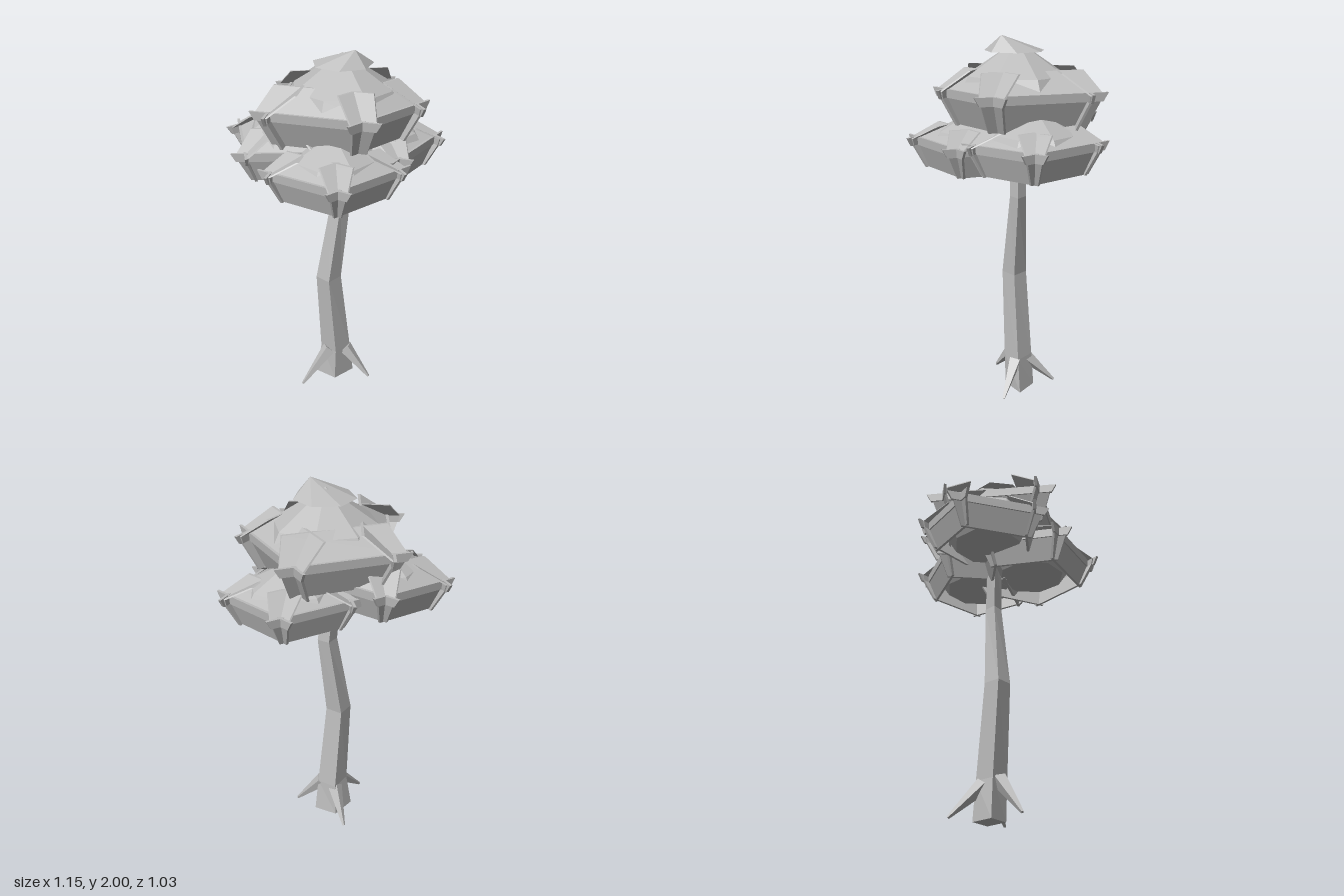
import * as THREE from 'three';

const grey = new THREE.MeshStandardMaterial({ color: 0xbcbcbc, flatShading: true, side: THREE.DoubleSide });
grey.name = 'stoneGrey';

function addMesh(parent, geometry, name) {
  const mesh = new THREE.Mesh(geometry, grey);
  mesh.name = name;
  parent.add(mesh);
  return mesh;
}

// Skin a list of point loops and cap both ends
function loft(rings) {
  const pos = [];
  const tri = (...pts) => pts.forEach((p) => pos.push(p.x, p.y, p.z));
  const n = rings[0].length;
  for (let r = 0; r < rings.length - 1; r++) {
    for (let i = 0; i < n; i++) {
      const j = (i + 1) % n;
      const [a, b, c, d] = [rings[r][i], rings[r][j], rings[r + 1][j], rings[r + 1][i]];
      tri(a, c, b);
      tri(a, d, c);
    }
  }
  // Caps zip across the loop, which suits thin bent plates and the square trunk alike
  [rings[0], rings[rings.length - 1]].forEach((ring, end) => {
    for (let i = 0, j = n - 1; i + 1 < j; i++, j--) {
      const q = [ring[i], ring[i + 1], ring[j - 1], ring[j]];
      if (end) q.reverse();
      tri(q[0], q[1], q[2]);
      tri(q[0], q[2], q[3]);
    }
  });
  const g = new THREE.BufferGeometry();
  g.setAttribute('position', new THREE.Float32BufferAttribute(pos, 3));
  g.computeVertexNormals();
  return g;
}

// Bent plate along one polygon edge; profile rows are [outward, height, overrun]
function plate(p0, p1, centre, profile, thickness) {
  const along = p1.clone().sub(p0).normalize();
  const out = new THREE.Vector3(along.z, 0, -along.x).normalize();
  if (out.dot(p0.clone().sub(centre)) < 0) out.negate();
  const loop = [...profile, ...profile.map(([o, y, e]) => [o - thickness, y, e]).reverse()];
  const end = (p, sign) => loop.map(([o, y, e]) =>
    p.clone().addScaledVector(out, o).addScaledVector(along, sign * e).add(new THREE.Vector3(0, y, 0)));
  return loft([end(p0, -1), end(p1, 1)]);
}

// Faceted, pointed dome of unit size
const domeProfile = [[0, -1], [0.72, -0.72], [1, 0], [0.85, 0.4], [0, 1.2]].map(([r, y]) => new THREE.Vector2(r, y));

// Leaf cluster: dome ringed by crossing bent plates
function leafCluster(name, { centre, corners, y, drop, inset, rise, roof, over, dome, lean = [0, 0] }) {
  const group = new THREE.Group();
  group.name = name;
  const c = new THREE.Vector3(centre[0], y, centre[1]);
  const pts = corners.map(([x, z]) => new THREE.Vector3(
    x, y + lean[0] * (x - centre[0]) + lean[1] * (z - centre[1]), z));
  pts.forEach((p, i) => {
    const q = pts[(i + 1) % pts.length];
    addMesh(group, plate(p, q, c, [
      [-roof, rise, over - 0.05], [0, 0.015, over], [0, -0.02, over - 0.01], [-inset, -drop, over - 0.06],
    ], 0.013), 'leafPlate');
    addMesh(group, plate(p, q, c, [[0.009, 0.022, over + 0.025], [0.006, -0.022, over]], 0.014), 'leafRim');
  });
  const ball = addMesh(group, new THREE.LatheGeometry(domeProfile, 8), 'leafDome');
  ball.scale.set(dome[0], dome[1], dome[0]);
  ball.position.copy(c);
  ball.rotation.y = 0.3;
  return group;
}

const pentagon = ([cx, cz], r, degrees) => Array.from({ length: 5 }, (_, i) => {
  const a = THREE.MathUtils.degToRad(degrees + i * 72);
  return [cx + r * Math.cos(a), cz + r * Math.sin(a)];
});

export function createModel() {
  const tree = new THREE.Group();
  tree.name = 'tree';

  // Crooked four-sided trunk: [y, x, z, radius x, radius z]
  const trunkRings = [
    [0, -0.03, -0.08, 0.11, 0.081],
    [0.2, -0.027, -0.07, 0.085, 0.077],
    [0.7, -0.067, -0.05, 0.069, 0.066],
    [1.16, 0.003, -0.062, 0.052, 0.043],
    [1.5, -0.035, -0.062, 0.042, 0.038],
  ].map(([y, x, z, rx, rz]) => Array.from({ length: 4 }, (_, i) => {
    const a = 0.1 + i * Math.PI / 2;
    return new THREE.Vector3(x + rx * Math.cos(a), y, z + rz * Math.sin(a));
  }));
  addMesh(tree, loft(trunkRings), 'trunk');

  // Pointed roots
  [
    [[-0.07, 0.2, -0.04], [-0.24, 0.012, 0.04]],
    [[-0.03, 0.18, -0.11], [-0.03, 0.015, -0.28]],
    [[0.03, 0.19, -0.05], [0.16, 0.015, 0.03]],
  ].forEach(([from, to]) => {
    const a = new THREE.Vector3(...from);
    const b = new THREE.Vector3(...to);
    const dir = b.clone().sub(a);
    const root = addMesh(tree, new THREE.CylinderGeometry(0.008, 0.042, dir.length(), 4), 'root');
    root.position.copy(a).addScaledVector(dir, 0.5);
    root.quaternion.setFromUnitVectors(new THREE.Vector3(0, 1, 0), dir.normalize());
  });

  // Large upper cluster
  tree.add(leafCluster('upperLeaves', {
    centre: [0.01, -0.05], y: 1.72, drop: 0.16, inset: 0.055, rise: 0.115, roof: 0.135, over: 0.07, dome: [0.305, 0.21],
    corners: [[0.05, 0.31], [0.355, 0.09], [0.255, -0.38], [-0.21, -0.38], [-0.37, 0.12]],
  }));

  // Three smaller clusters below
  const lower = { drop: 0.14, inset: 0.04, rise: 0.085, roof: 0.13, over: 0.05, dome: [0.25, 0.145] };
  tree.add(leafCluster('frontLeaves', {
    ...lower, centre: [-0.06, 0.14], y: 1.455, corners: pentagon([-0.06, 0.14], 0.325, 22),
  }));
  tree.add(leafCluster('leftLeaves', {
    ...lower, centre: [0.2, -0.125], y: 1.485, corners: pentagon([0.2, -0.125], 0.31, 7), lean: [0, -0.03],
  }));
  tree.add(leafCluster('rightLeaves', {
    ...lower, centre: [-0.235, -0.135], y: 1.53, rise: 0.1, dome: [0.25, 0.16],
    corners: pentagon([-0.235, -0.135], 0.325, -3), lean: [0.08, -0.05],
  }));

  // Small cap on top with an off-centre tip
  const cap = new THREE.ConeGeometry(0.155, 0.08, 7);
  cap.rotateY(0.65);
  const p = cap.attributes.position;
  for (let i = 0; i < p.count; i++) {
    if (p.getY(i) > 0) p.setXYZ(i, p.getX(i) + 0.05, p.getY(i), p.getZ(i) + 0.07);
  }
  cap.computeVertexNormals();
  addMesh(tree, cap, 'topCap').position.set(0.01, 1.96, -0.04);

  return tree;
}
